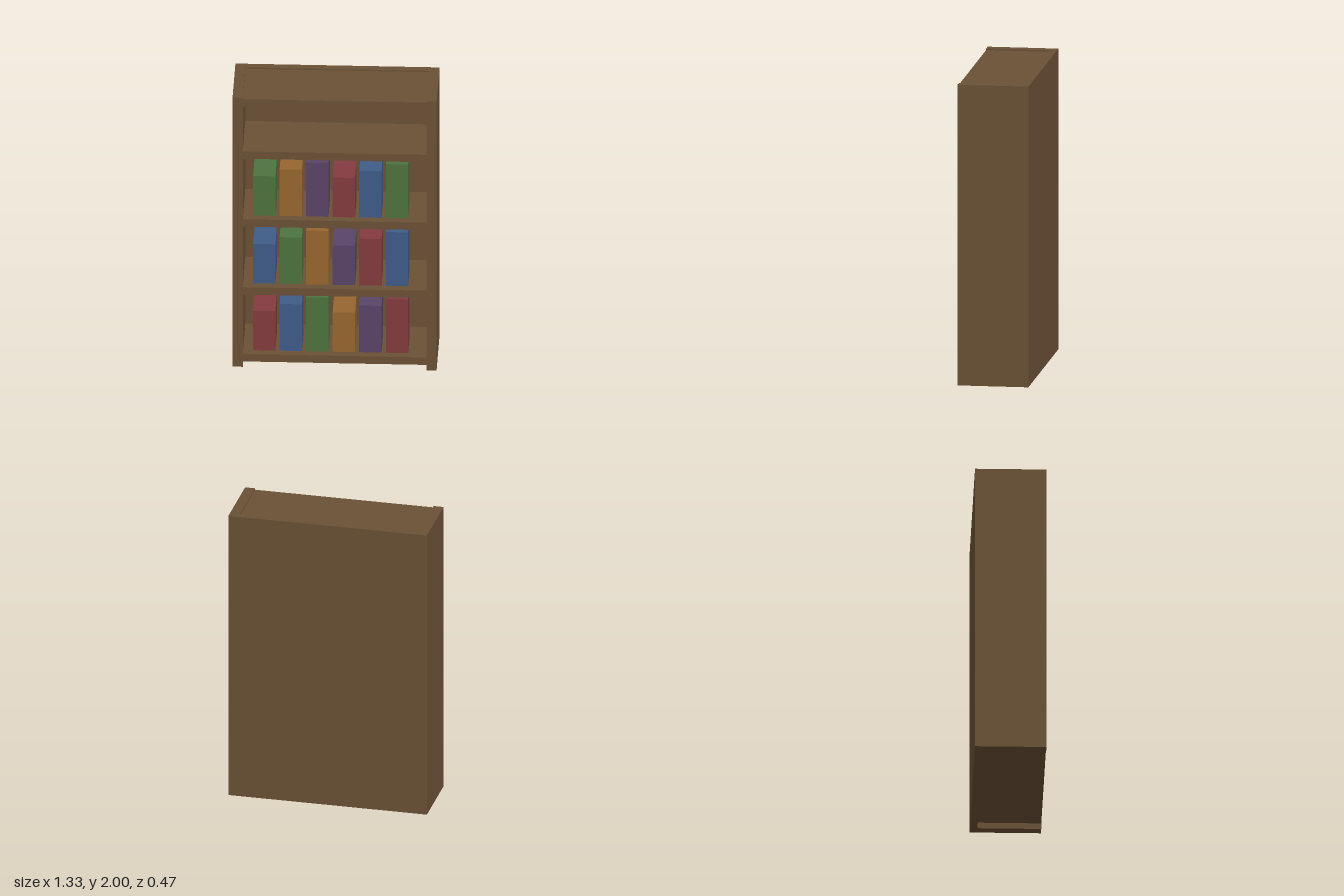
import * as THREE from 'three';

const material = (name, color) => {
  const m = new THREE.MeshStandardMaterial({ color });
  m.name = name;
  return m;
};

export function createModel() {
  const group = new THREE.Group();
  group.name = 'bookcase';

  const wood = material('brown wood', 0x6b5136);
  const red = material('red cover', 0x843b3f);
  const blue = material('blue cover', 0x3f5c88);
  const green = material('green cover', 0x4d743f);
  const orange = material('orange cover', 0x97662f);
  const purple = material('purple cover', 0x5a4468);

  // Box placed by its horizontal centre and its bottom
  const box = (name, mat, w, h, d, x, bottom, z) => {
    const mesh = new THREE.Mesh(new THREE.BoxGeometry(w, h, d), mat);
    mesh.name = name;
    mesh.position.set(x, bottom + h / 2, z);
    group.add(mesh);
  };

  // Carcass: two sides and a back panel
  const depth = 0.467, side = 0.067, back = 0.05, inner = 1.2;
  for (const s of [-1, 1]) {
    box(s > 0 ? 'leftSide' : 'rightSide', wood, side, 2, depth, s * (inner + side) / 2, 0, 0);
  }
  box('backPanel', wood, inner, 2, back, 0, 0, (back - depth) / 2);

  // Shelves, flush with the front edges
  const thick = 0.055;
  const shelves = [0.04, 0.537, 1.042, 1.547, 1.935];
  shelves.forEach((y, i) => {
    box(`shelf${i + 1}`, wood, inner, thick, depth - back, 0, y, back / 2);
  });

  // Books on the three lower shelves, in repeating heights
  const heights = [0.293, 0.347, 0.4];
  const rows = [
    [red, blue, green, orange, purple, red],
    [blue, green, orange, purple, red, blue],
    [green, orange, purple, red, blue, green],
  ];
  rows.forEach((covers, r) => {
    covers.forEach((cover, i) => {
      box(`book${r + 1}_${i + 1}`, cover, 0.146, heights[i % 3], 0.244,
        -0.462 + i * 0.1735, shelves[r] + thick, 0.056);
    });
  });

  return group;
}
